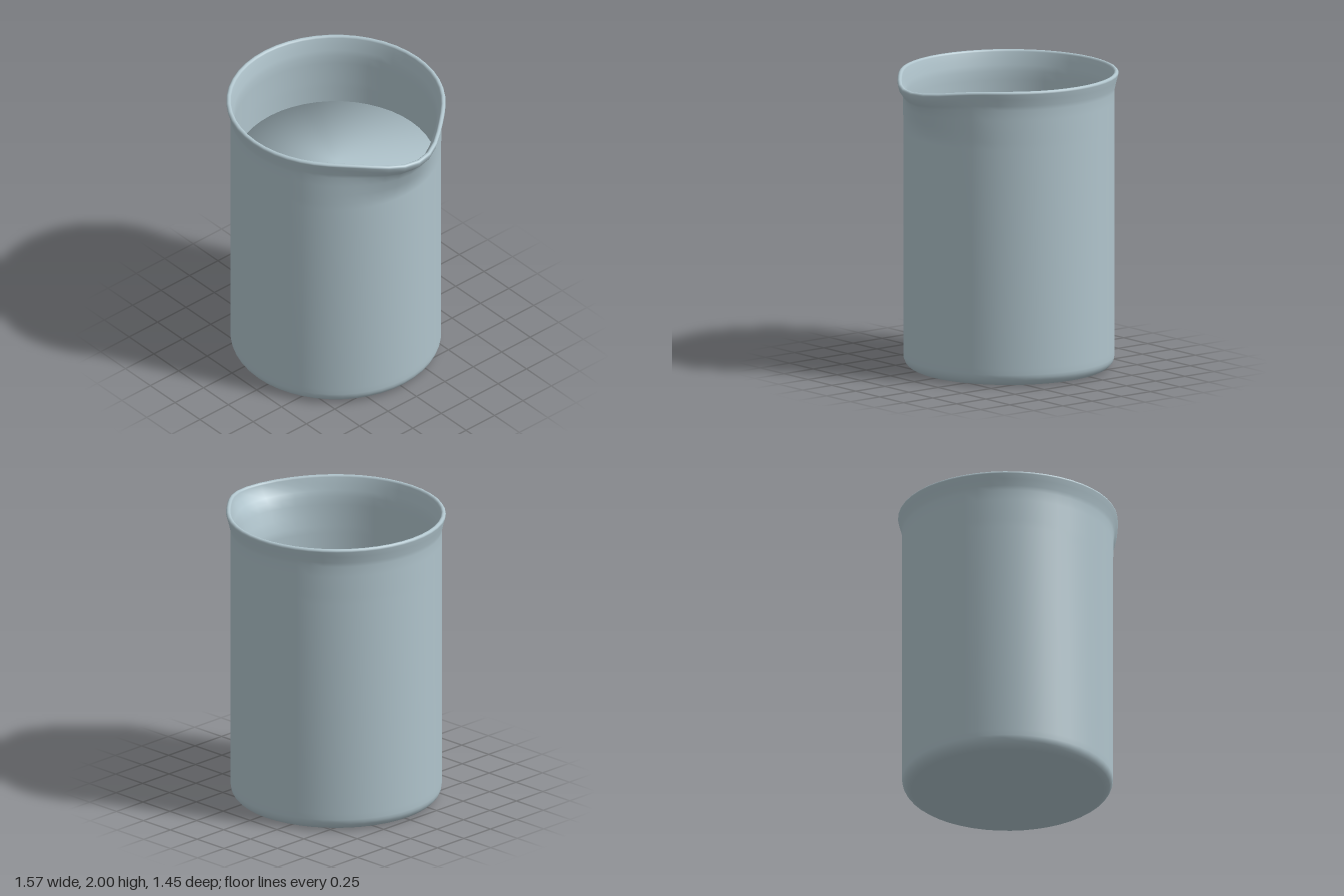
import * as THREE from 'three';
import { mergeVertices } from 'three/addons/utils/BufferGeometryUtils.js';

const SIDES = 48;
const CENTRE_X = -0.0625;
const glass = new THREE.MeshStandardMaterial({ color: 0xb0c4cc });
const liquid = new THREE.MeshStandardMaterial({ color: 0xb0c4cc });

const toPoints = (list) => list.map(([r, y]) => new THREE.Vector2(r, y));

// Rounded corner of the profile, from one angle to another
function arc(cx, cy, radius, from, to, steps) {
  return Array.from({ length: steps + 1 }, (_, i) => {
    const a = THREE.MathUtils.degToRad(from + ((to - from) * i) / steps);
    return [cx + radius * Math.cos(a), cy + radius * Math.sin(a)];
  });
}

// How far the spout pushes the wall out at a given height
function spoutReach(y) {
  if (y < 1.65) return 0;
  if (y < 1.88) return (0.075 * (y - 1.65)) / 0.23;
  return Math.min(0.12, 0.075 + (0.045 * (y - 1.88)) / 0.06);
}

// Pull the wall out and the lip down around the +x direction
function shapeSpout(geometry) {
  const pos = geometry.attributes.position;
  for (let i = 0; i < pos.count; i++) {
    const x = pos.getX(i), y = pos.getY(i), z = pos.getZ(i);
    const r = Math.hypot(x, z);
    if (y < 1.65 || r < 0.1) continue;
    const angle = THREE.MathUtils.radToDeg(Math.atan2(z, x));
    const bump = Math.exp(-((angle / 23) ** 2));
    const k = (r + spoutReach(y) * bump) / r;
    const dip = 0.04 * bump * THREE.MathUtils.smoothstep(y, 1.75, 1.96);
    pos.setXYZ(i, x * k, y - dip, z * k);
  }
}

function makeVessel() {
  const profile = [
    // underside, rounded base and outer wall
    [0, 0], [0.6, 0],
    ...arc(0.62, 0.08, 0.08, -90, 0, 6),
    [0.7, 0.12], [0.7, 0.9], [0.7, 1.6], [0.7, 1.65], [0.7, 1.72], [0.7, 1.8], [0.7, 1.87],
    // flared lip
    [0.706, 1.9], [0.716, 1.945],
    ...arc(0.711, 1.984, 0.016, -10, 170, 6),
    [0.685, 1.945], [0.676, 1.9],
    // inner wall and floor
    [0.669, 1.86], [0.669, 1.8], [0.669, 1.72], [0.669, 1.65], [0.669, 1.6], [0.669, 0.9], [0.669, 0.12],
    ...arc(0.609, 0.1, 0.06, 0, -90, 4),
    [0, 0.04],
  ];
  let geometry = new THREE.LatheGeometry(toPoints(profile), SIDES);
  shapeSpout(geometry);
  // weld the seam so that the shading runs smoothly round
  geometry.deleteAttribute('uv');
  geometry.deleteAttribute('normal');
  geometry = mergeVertices(geometry, 1e-5);
  geometry.computeVertexNormals();
  const mesh = new THREE.Mesh(geometry, glass);
  mesh.name = 'beakerGlass';
  return mesh;
}

// Contents filling the vessel to about three quarters
function makeContents() {
  const profile = [[0, 0.045], [0.6, 0.045], [0.664, 0.12], [0.664, 1.49], [0, 1.49]];
  const mesh = new THREE.Mesh(new THREE.LatheGeometry(toPoints(profile), SIDES), liquid);
  mesh.name = 'liquid';
  return mesh;
}

export function createModel() {
  const beaker = new THREE.Group();
  beaker.name = 'beaker';
  beaker.add(makeVessel(), makeContents());
  beaker.position.x = CENTRE_X;
  const model = new THREE.Group();
  model.add(beaker);
  return model;
}
